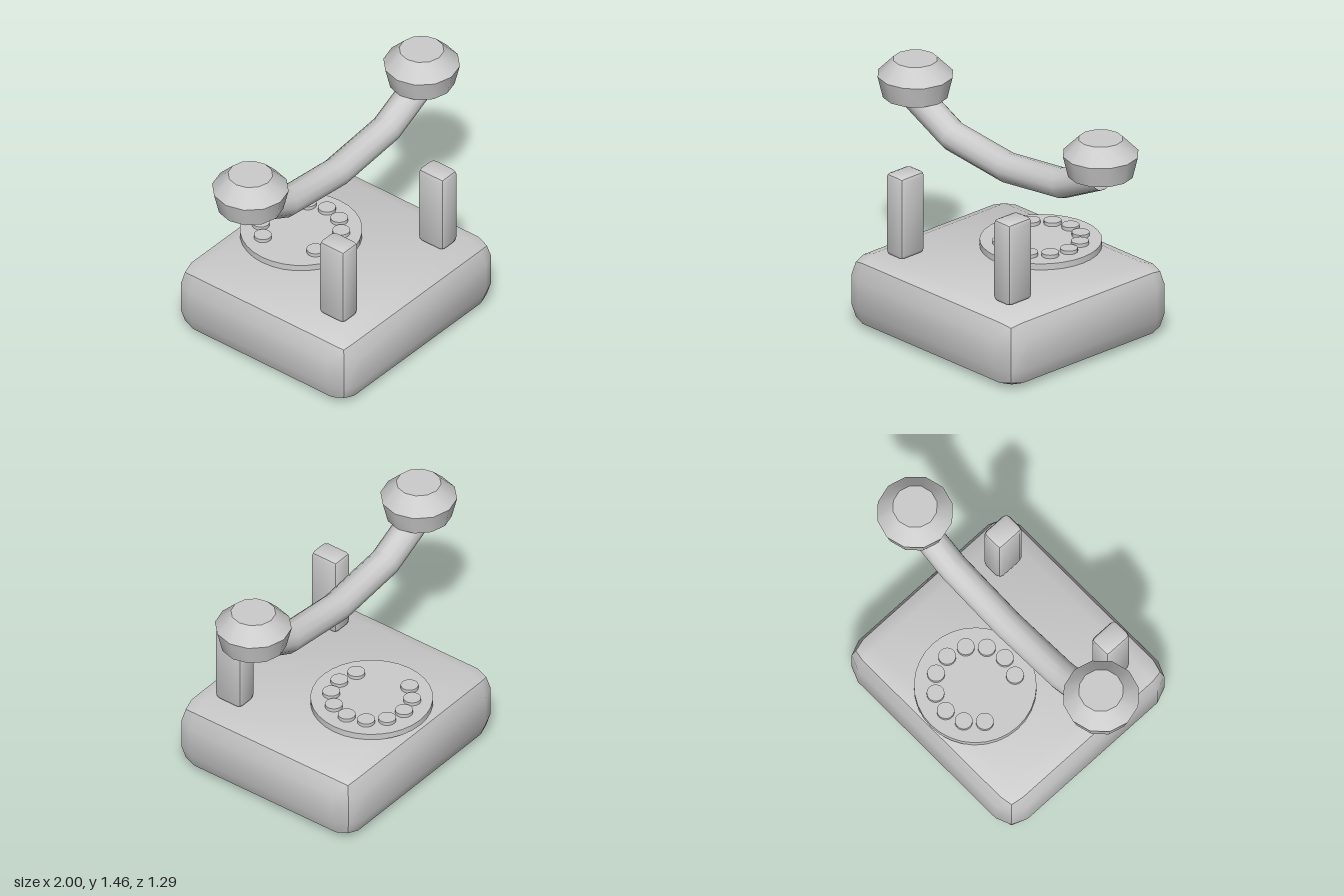
import * as THREE from 'three';
import { toCreasedNormals } from 'three/addons/utils/BufferGeometryUtils.js';

const CREASE = 0.6;

// Box with every edge rounded by two facets of radius r
function bevelBox(w, h, d, r) {
  const geo = new THREE.BoxGeometry(1, 1, 1, 3, 3, 3);
  const pos = geo.attributes.position;
  const p = new THREE.Vector3(), n = new THREE.Vector3();
  const onFace = (c) => (Math.abs(c) > 0.4 ? Math.sign(c) : 0);
  for (let i = 0; i < pos.count; i++) {
    p.fromBufferAttribute(pos, i);
    n.set(onFace(p.x), onFace(p.y), onFace(p.z)).normalize();
    pos.setXYZ(i,
      Math.sign(p.x) * (w / 2 - r) + n.x * r,
      Math.sign(p.y) * (h / 2 - r) + n.y * r,
      Math.sign(p.z) * (d / 2 - r) + n.z * r);
  }
  return toCreasedNormals(geo, CREASE);
}

// Open bent tube: each ring of a cylinder is moved to its mitred station
function handleGeometry(r) {
  const stations = [[0, 1.023, 0], [0.458, 1.073, 0.28], [0.771, 1.226, 0.455]];
  const geo = new THREE.CylinderGeometry(r, r, 4, 12, 4, true).rotateZ(-Math.PI / 2);
  const pos = geo.attributes.position;
  for (let i = 0; i < pos.count; i++) {
    const k = Math.round(pos.getX(i)), side = Math.sign(k), y = pos.getY(i);
    const [cx, cy, a] = stations[Math.abs(k)];
    pos.setXY(i, side * (cx - y * Math.sin(a)), cy + y * Math.cos(a));
  }
  return toCreasedNormals(geo, CREASE);
}

export function createModel() {
  const model = new THREE.Group();
  model.name = 'telephone';
  const grey = new THREE.MeshStandardMaterial({ color: 0xcccccc, side: THREE.DoubleSide });
  grey.name = 'light grey';

  const add = (name, geo, x, y, z, parent = model) => {
    const mesh = new THREE.Mesh(geo, grey);
    mesh.name = name;
    mesh.position.set(x, y, z);
    parent.add(mesh);
    return mesh;
  };

  // Body
  add('body', bevelBox(1.41, 0.455, 1.29, 0.13), 0, 0.2275, 0);

  // Cradle posts
  const post = bevelBox(0.144, 0.515, 0.19, 0.03);
  add('leftPost', post, 0.45, 0.7125, 0.388);
  add('rightPost', post, -0.45, 0.7125, 0.388);

  // Dial plate with ten round buttons on a ring
  const dial = new THREE.Group();
  dial.name = 'dial';
  dial.position.set(0, 0.455, -0.26);
  model.add(dial);
  add('dialPlate', new THREE.CylinderGeometry(0.353, 0.353, 0.038, 32), 0, 0.019, 0, dial);
  const button = new THREE.CylinderGeometry(0.051, 0.051, 0.024, 24);
  for (let i = 0; i < 10; i++) {
    const a = (i * 30 - 60) * Math.PI / 180;
    add('dialButton', button, 0.235 * Math.sin(a), 0.048, -0.235 * Math.cos(a), dial);
  }

  // Handset: bent handle and two end cups
  const handset = new THREE.Group();
  handset.name = 'handset';
  model.add(handset);
  add('handle', handleGeometry(0.09), 0, 0, 0, handset);
  const profile = [[0, 0], [0.192, 0], [0.223, 0.13], [0.13, 0.225], [0, 0.225]]
    .map(([x, y]) => new THREE.Vector2(x, y));
  const cup = toCreasedNormals(new THREE.LatheGeometry(profile, 12), CREASE);
  add('leftCup', cup, 0.777, 1.233, 0, handset);
  add('rightCup', cup, -0.777, 1.233, 0, handset);

  return model;
}
